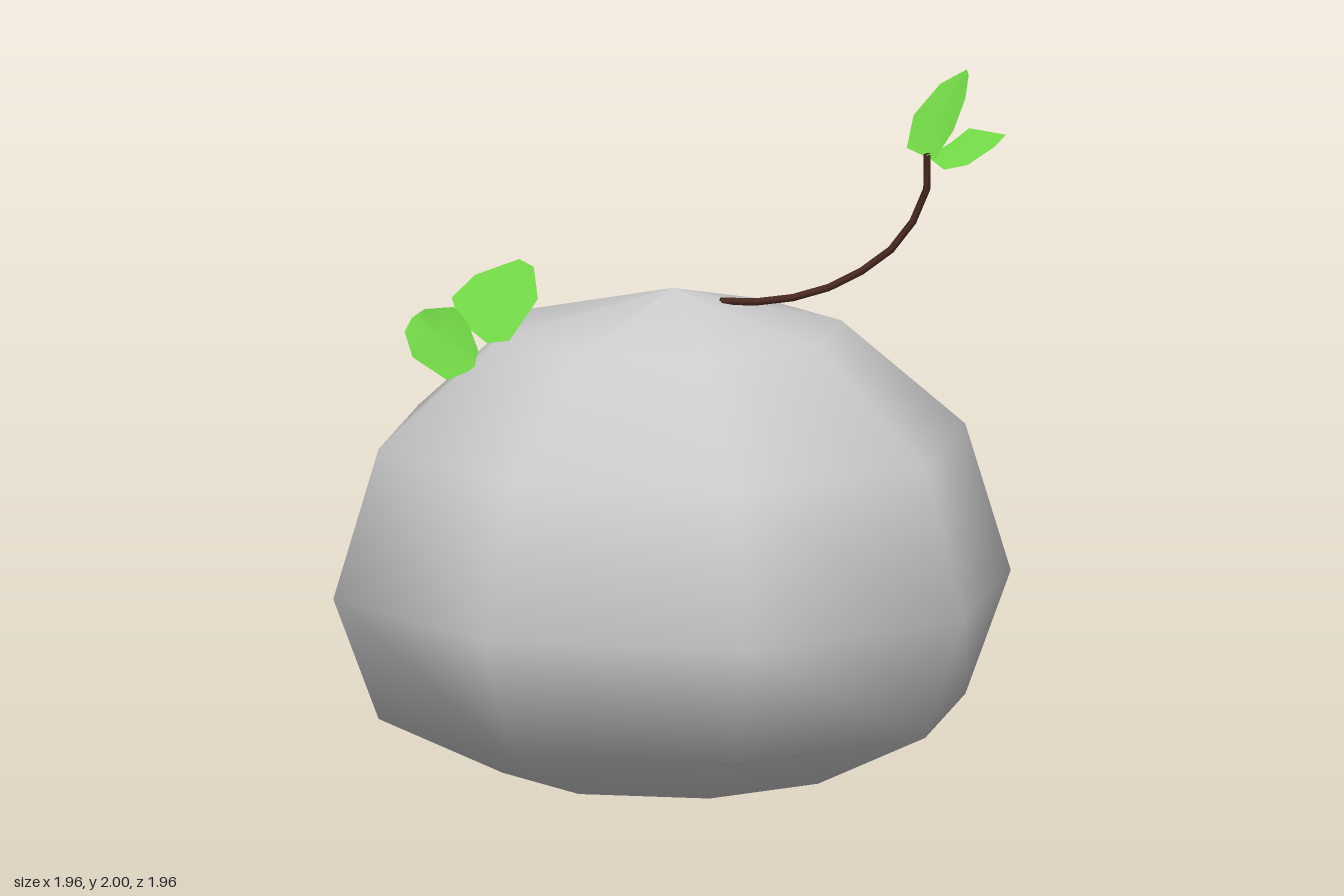
import * as THREE from 'three';

const stone = new THREE.MeshStandardMaterial({ color: 0xcccccc });
const green = new THREE.MeshStandardMaterial({ color: 0x70d545, side: THREE.DoubleSide });
const bark = new THREE.MeshStandardMaterial({ color: 0x4a2a20, side: THREE.DoubleSide });

// Thin leaf: a smooth fan from a slightly raised middle to its outline
function leaf(name, outline) {
  const edge = outline.map((p) => new THREE.Vector3(...p));
  const middle = new THREE.Vector3();
  edge.forEach((p) => middle.addScaledVector(p, 1 / edge.length));
  const normal = new THREE.Vector3();
  edge.forEach((p, i) => {
    const q = edge[(i + 1) % edge.length];
    normal.add(p.clone().sub(middle).cross(q.clone().sub(middle)));
  });
  middle.addScaledVector(normal.normalize(), 0.008);

  const geometry = new THREE.BufferGeometry().setFromPoints([middle, ...edge]);
  const index = [];
  edge.forEach((p, i) => index.push(0, i + 1, ((i + 1) % edge.length) + 1));
  geometry.setIndex(index);
  geometry.computeVertexNormals();
  const mesh = new THREE.Mesh(geometry, green);
  mesh.name = name;
  return mesh;
}

export function createModel() {
  const model = new THREE.Group();
  model.name = 'sproutingBall';

  // Round body: eight sides, flatter below its widest ring than above
  const profile = [];
  for (let i = 0; i <= 6; i++) {
    const a = (i / 6) * Math.PI - Math.PI / 2;
    const s = Math.sin(a);
    const r = i % 6 === 0 ? 0 : 0.978 * Math.cos(a);
    profile.push(new THREE.Vector2(r, 0.56 + s * (s < 0 ? 0.56 : 0.853)));
  }
  profile[1].y = 0.04;
  profile[2].y = 0.21;
  const body = new THREE.Mesh(new THREE.LatheGeometry(profile, 8), stone);
  body.name = 'body';
  model.add(body);

  // Curved stem growing from the top
  const path = new THREE.CatmullRomCurve3([
    [0.13, 1.38, -0.05], [0.2, 1.372, -0.13], [0.34, 1.4, -0.245],
    [0.5, 1.51, -0.35], [0.585, 1.64, -0.385], [0.612, 1.73, -0.387], [0.615, 1.8, -0.375],
  ].map((p) => new THREE.Vector3(...p)));
  const stem = new THREE.Mesh(new THREE.TubeGeometry(path, 8, 0.011, 5), bark);
  stem.name = 'stem';
  model.add(stem);

  // Two leaves at the end of the stem
  model.add(leaf('stemLeafLarge', [
    [0.64, 1.785, -0.37], [0.68, 1.87, -0.41], [0.675, 1.95, -0.48], [0.635, 2, -0.56],
    [0.59, 2, -0.62], [0.53, 1.96, -0.575], [0.495, 1.88, -0.49], [0.53, 1.805, -0.4],
  ]));
  model.add(leaf('stemLeafSmall', [
    [0.61, 1.79, -0.385], [0.68, 1.765, -0.36], [0.74, 1.78, -0.39], [0.785, 1.825, -0.46],
    [0.785, 1.85, -0.52], [0.7, 1.87, -0.46], [0.66, 1.83, -0.43],
  ]));

  // Two leaves resting on the shoulder of the body
  model.add(leaf('shoulderLeafLarge', [
    [-0.37, 1.28, 0.39], [-0.295, 1.295, 0.39], [-0.295, 1.39, 0.24], [-0.38, 1.455, 0.13],
    [-0.46, 1.46, 0.08], [-0.55, 1.42, 0.17], [-0.565, 1.37, 0.27], [-0.5, 1.32, 0.33],
  ]));
  model.add(leaf('shoulderLeafSmall', [
    [-0.39, 1.21, 0.425], [-0.39, 1.26, 0.405], [-0.44, 1.33, 0.38], [-0.5, 1.365, 0.36],
    [-0.62, 1.34, 0.325], [-0.665, 1.31, 0.32], [-0.655, 1.28, 0.375], [-0.6, 1.22, 0.42],
    [-0.46, 1.175, 0.457],
  ]));
  return model;
}
